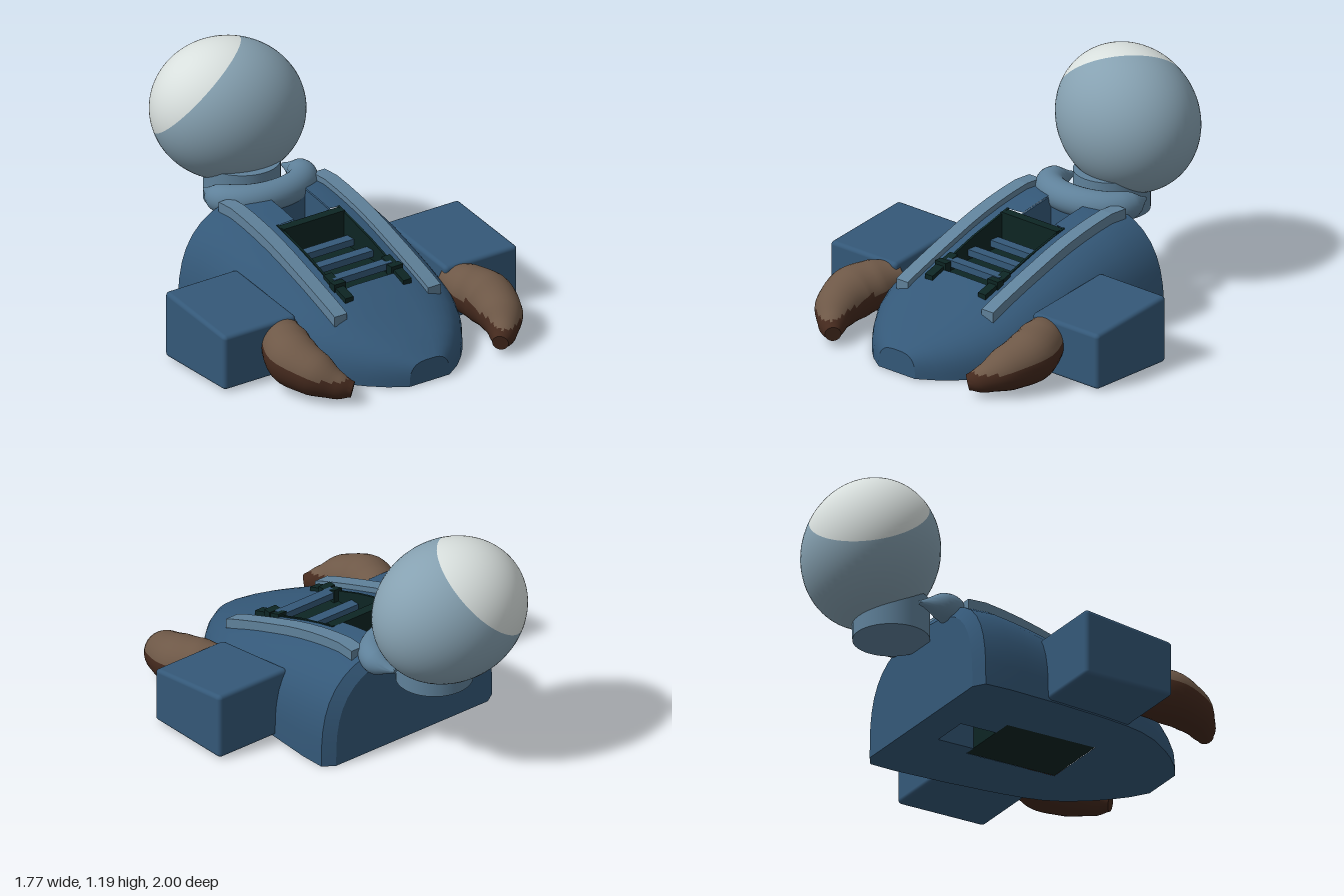
import * as THREE from 'three';
import { toCreasedNormals } from 'three/addons/utils/BufferGeometryUtils.js';
import { RoundedBoxGeometry } from 'three/addons/geometries/RoundedBoxGeometry.js';

const mat = (name, color) => new THREE.MeshStandardMaterial({ name, color });

// Body stations: z, half width, crown height
const STATIONS = [
  [-0.375, 0.48, 0.49], [-0.335, 0.54, 0.54], [-0.2, 0.545, 0.545], [-0.1, 0.54, 0.53], [0, 0.535, 0.51],
  [0.1, 0.53, 0.485], [0.2, 0.52, 0.455], [0.3, 0.512, 0.42], [0.4, 0.5, 0.385], [0.5, 0.485, 0.348],
  [0.6, 0.46, 0.31], [0.7, 0.415, 0.267], [0.8, 0.345, 0.222], [0.87, 0.285, 0.19], [0.94, 0.21, 0.155], [1, 0.12, 0.12],
];

function crown(z) {
  const i = Math.max(1, STATIONS.findIndex((s) => s[0] >= z));
  const [a, b] = [STATIONS[i - 1], STATIONS[i]];
  return THREE.MathUtils.lerp(a[2], b[2], (z - a[0]) / (b[0] - a[0]));
}

// Domed hull with a flat underside, a deck well and a slot through it
function hullGeometry() {
  const outer = [0.22, 0.42, 0.6, 0.75, 0.86, 0.93, 0.975, 0.994, 1];
  const inner = [-0.19, -0.085, 0.127, 0.19];
  const cols = outer.length * 2 + inner.length;
  const pos = [], idx = [];
  for (const top of [true, false]) {
    for (const [z, w, h] of STATIONS) {
      const k = Math.min(1, w / 0.4), e = 0.19 * k;
      const side = outer.map((t) => e + (w - e) * t);
      const xs = [...side.map((x) => -x).reverse(), ...inner.map((x) => x * k), ...side];
      for (const x of xs) {
        const y = h * Math.cbrt(Math.max(0, 1 - Math.pow(Math.abs(x) / w, 3)));
        pos.push(x, top ? y : 0, z);
      }
    }
  }
  const rows = STATIONS.length, under = rows * cols, mid = outer.length;
  const quad = (a, b, c, d) => idx.push(a, b, c, a, c, d);
  for (let i = 0; i < rows - 1; i++) {
    const z = STATIONS[i][0];
    for (let j = 0; j < cols - 1; j++) {
      const well = z >= 0 && z < 0.5 && j >= mid && j < mid + 3;
      const slot = z >= -0.2 && z < 0 && j === mid + 1;
      if (well || slot) continue;
      const a = i * cols + j, b = a + cols;
      quad(a, b, b + 1, a + 1);
      quad(under + a, under + a + 1, under + b + 1, under + b);
    }
  }
  const last = (rows - 1) * cols;
  for (let j = 0; j < cols - 1; j++) {
    quad(under + j + 1, under + j, j, j + 1);
    quad(under + last + j, under + last + j + 1, last + j + 1, last + j);
  }
  const g = new THREE.BufferGeometry();
  g.setAttribute('position', new THREE.Float32BufferAttribute(pos, 3));
  g.setIndex(idx);
  return toCreasedNormals(g, 0.55);
}

// Round tube of varying thickness; faces for which isLower is true go in group 1
function taperedTube(points, radii, steps, isLower = () => false) {
  const curve = new THREE.CatmullRomCurve3(points.map((p) => new THREE.Vector3(...p)));
  const sides = 28, pts = [], lists = [[], []];
  for (let i = -1; i <= steps + 1; i++) {
    const t = THREE.MathUtils.clamp(i / steps, 0, 1);
    const f = t * (radii.length - 1), k = Math.min(Math.floor(f), radii.length - 2);
    const u = f - k, smooth = u * u * (3 - 2 * u);
    const r = i < 0 || i > steps ? 0 : THREE.MathUtils.lerp(radii[k], radii[k + 1], (u + smooth) / 2);
    const c = curve.getPoint(t), T = curve.getTangent(t);
    const N = new THREE.Vector3().crossVectors(T, new THREE.Vector3(0, 1, 0)).normalize();
    const B = new THREE.Vector3().crossVectors(N, T);
    for (let j = 0; j < sides; j++) {
      const a = (j / sides) * Math.PI * 2;
      pts.push(c.clone().addScaledVector(N, r * Math.cos(a)).addScaledVector(B, r * Math.sin(a)));
    }
  }
  for (let i = 0; i < steps + 2; i++) {
    for (let j = 0; j < sides; j++) {
      const a = i * sides + j, b = i * sides + ((j + 1) % sides), c = a + sides, d = b + sides;
      const centre = pts[a].clone().add(pts[d]).multiplyScalar(0.5);
      lists[isLower(centre) ? 1 : 0].push(a, c, b, b, c, d);
    }
  }
  const g = new THREE.BufferGeometry().setFromPoints(pts);
  g.setIndex([...lists[0], ...lists[1]]);
  g.addGroup(0, lists[0].length, 0);
  g.addGroup(lists[0].length, lists[1].length, 1);
  return toCreasedNormals(g, 0.9);
}

// Upright plate cut from a (z, y) outline and spanning x0..x1
function plate(outline, x0, x1) {
  const shape = new THREE.Shape(outline.map(([z, y]) => new THREE.Vector2(-z, y)));
  const g = new THREE.ExtrudeGeometry(shape, { depth: x1 - x0, bevelEnabled: false });
  return g.rotateY(Math.PI / 2).translate(x0, 0, 0);
}

export function createModel() {
  const model = new THREE.Group();
  const navy = mat('navy', 0x345878);
  const steel = mat('steelBlue', 0x5f819a);
  const pale = mat('paleBlue', 0x86a1b1);
  const white = mat('offWhite', 0xd8dfdd);
  const brown = mat('brown', 0x6e5847);
  const darkBrown = mat('darkBrown', 0x44291d);
  const dark = mat('darkGreen', 0x0d2523);

  const add = (name, geometry, material, x = 0, y = 0, z = 0, parent = model) => {
    const m = new THREE.Mesh(geometry, material);
    m.name = name;
    m.position.set(x, y, z);
    parent.add(m);
    return m;
  };
  const box = (name, material, w, h, d, x, y, z) => add(name, new THREE.BoxGeometry(w, h, d), material, x, y, z);

  add('hull', hullGeometry(), navy);

  // Walls of the slot behind the well
  const slotSide = [[-0.2, 0], [0, 0], [0, 0.5], [-0.1, 0.52], [-0.2, 0.535]];
  add('slotWallRight', plate(slotSide, -0.095, -0.085), navy);
  add('slotWallLeft', plate(slotSide, 0.127, 0.137), navy);
  box('slotBackWall', navy, 0.22, 0.53, 0.01, 0.021, 0.265, -0.205);

  // Dark well with slats
  box('wellFloor', dark, 0.38, 0.325, 0.5, 0, 0.1635, 0.25);
  box('wellBackPanel', dark, 0.37, 0.5, 0.05, 0, 0.252, 0.027);
  for (const s of [-1, 1]) {
    const side = [[0, 0.3], [0.5, 0.3], [0.5, 0.348], [0.25, 0.437], [0, 0.508]];
    const x = s * 0.184;
    add('wellSide', plate(side, x - 0.006, x + 0.006), dark);
    const foot = [[0.4, 0.32], [0.58, 0.29], [0.58, 0.335], [0.4, 0.395]];
    add('wellFoot', plate(foot, s * 0.175 - 0.025, s * 0.175 + 0.025), dark);
    box('wellFootTip', dark, 0.07, 0.05, 0.04, s * 0.172, 0.355, 0.48);
  }
  for (const z of [0.11, 0.27, 0.43]) box('slat', navy, 0.35, 0.035, 0.055, 0, 0.365, z);

  // Paired parts
  for (const s of [-1, 1]) {
    const label = s > 0 ? 'left' : 'right';

    const pod = new RoundedBoxGeometry(0.435, 0.35, 0.495, 3, 0.022);
    const p = pod.attributes.position;
    for (let i = 0; i < p.count; i++) {
      const lift = (p.getY(i) + 0.175) / 0.35, front = (p.getZ(i) + 0.2475) / 0.495;
      p.setY(i, p.getY(i) - 0.065 * lift * front);
    }
    add(label + 'SidePod', pod, navy, s * 0.6675, 0.183, 0.2725);

    const claw = taperedTube(
      [[s * 0.485, 0.215, 0.45], [s * 0.545, 0.18, 0.56], [s * 0.585, 0.155, 0.68], [s * 0.56, 0.125, 0.82],
        [s * 0.5, 0.085, 0.92], [s * 0.445, 0.068, 0.975]],
      [0.075, 0.122, 0.134, 0.112, 0.07, 0.04], 26,
      (c) => c.y < 0.12 + (1 - c.z) * 0.18);
    add(label + 'Claw', claw, [brown, darkBrown]);

    // Rail following the slope of the deck
    const zs = [-0.3, -0.2, -0.1, 0, 0.1, 0.2, 0.3, 0.4, 0.5, 0.6, 0.655];
    const outline = [
      ...zs.map((z) => [z, crown(z) - 0.04]),
      ...zs.slice().reverse().map((z) => [z, crown(z) + 0.012]),
    ];
    add(label + 'Rail', plate(outline, s * 0.282 - 0.038, s * 0.282 + 0.038), steel);
  }

  // Collar wrapped round the front of the neck
  const arc = [];
  for (let i = 0; i <= 10; i++) {
    const a = (i / 10) * Math.PI;
    arc.push([0.245 * Math.cos(a), 0.515 + 0.012 * Math.sin(a), -0.42 + 0.17 * Math.sin(a)]);
  }
  arc.unshift([0.235, 0.512, -0.53]);
  arc.push([-0.235, 0.512, -0.53]);
  const collarRadii = [0.01, 0.068, 0.075, 0.075, 0.075, 0.075, 0.075, 0.075, 0.075, 0.075, 0.068, 0.01];
  add('collar', taperedTube(arc, collarRadii, 48), [steel, steel]);
  add('neck', new THREE.CylinderGeometry(0.19, 0.19, 0.2, 40), steel, 0, 0.5, -0.545);

  // Tilted egg-shaped head with a white cap
  const head = new THREE.Group();
  head.name = 'head';
  head.position.set(0, 0.832, -0.662);
  head.rotation.set(0, -0.2, -0.3);
  head.scale.set(0.396, 0.358, 0.336);
  model.add(head);
  const axis = new THREE.Vector3(-0.58, 0.66, -0.45).normalize().applyQuaternion(head.quaternion.clone().invert());
  const turn = new THREE.Quaternion().setFromUnitVectors(new THREE.Vector3(0, 1, 0), axis);
  const split = THREE.MathUtils.degToRad(59);
  const cap = new THREE.SphereGeometry(1, 56, 18, 0, Math.PI * 2, 0, split).applyQuaternion(turn);
  const shell = new THREE.SphereGeometry(1, 56, 32, 0, Math.PI * 2, split, Math.PI - split).applyQuaternion(turn);
  add('headCap', cap, white, 0, 0, 0, head);
  add('headShell', shell, pale, 0, 0, 0, head);

  return model;
}
